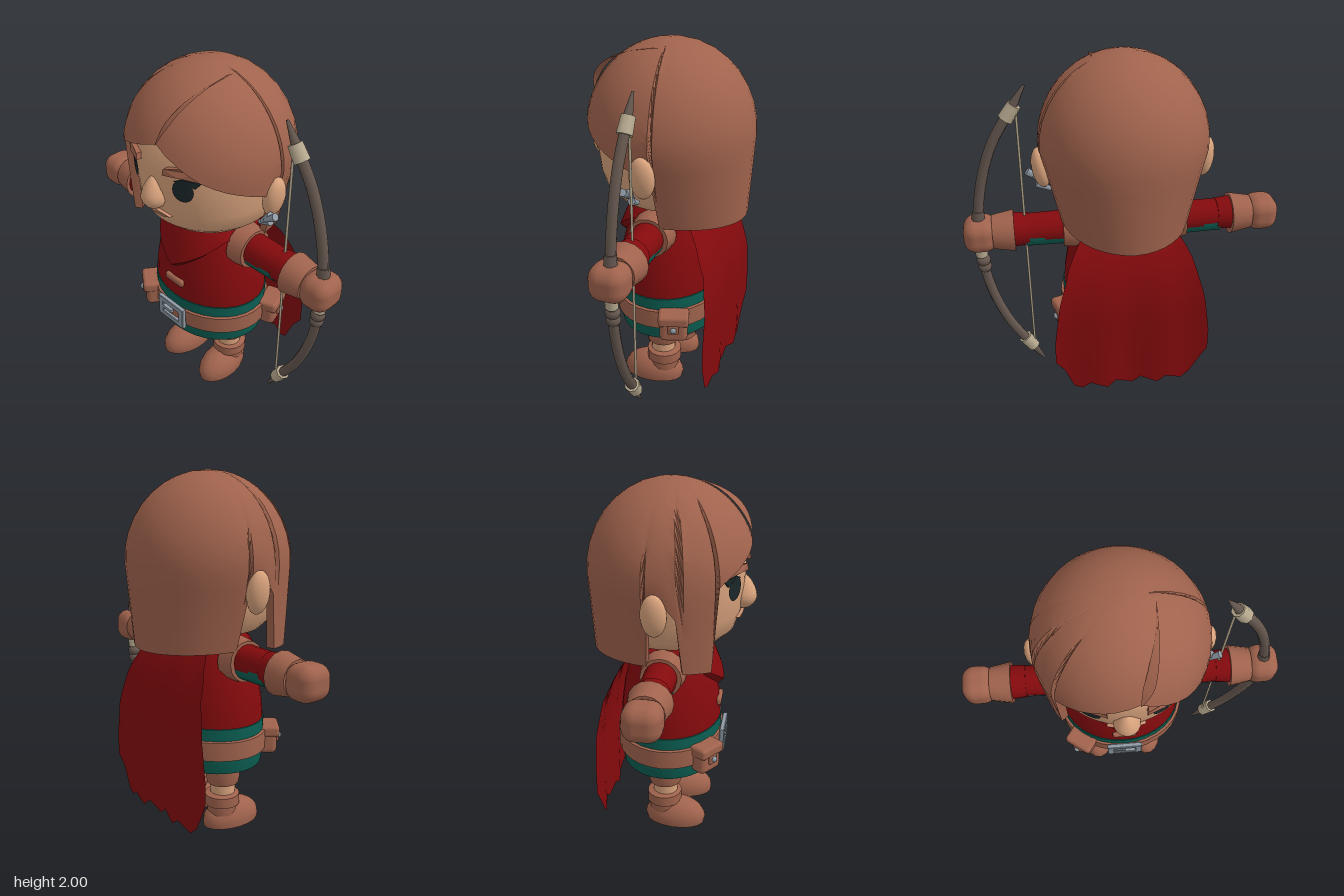
import * as THREE from 'three';
import { toCreasedNormals } from 'three/addons/utils/BufferGeometryUtils.js';
import { RoundedBoxGeometry } from 'three/addons/geometries/RoundedBoxGeometry.js';
import { ParametricGeometry } from 'three/addons/geometries/ParametricGeometry.js';

const mat = (name, color, side = THREE.FrontSide) => {
  const m = new THREE.MeshStandardMaterial({ color, side });
  m.name = name;
  return m;
};
const V2 = (p) => p.map(([x, y]) => new THREE.Vector2(x, y));
const rad = THREE.MathUtils.degToRad;

// Piecewise linear lookup in a list of [key, value] with rising keys
function lookup(list, k) {
  for (let i = 1; i < list.length; i++) {
    if (k <= list[i][0]) {
      const [a, b] = [list[i - 1], list[i]];
      return THREE.MathUtils.lerp(a[1], b[1], THREE.MathUtils.clamp((k - a[0]) / (b[0] - a[0]), 0, 1));
    }
  }
  return list[list.length - 1][1];
}

export function createModel() {
  const model = new THREE.Group();
  const D = THREE.DoubleSide;
  const leather = mat('brown hair and leather', 0xa0634d, D);
  const skin = mat('skin', 0xd9a37d);
  const lip = mat('lips', 0xcb9070);
  const red = mat('red cloth', 0x840a0d, D);
  const teal = mat('teal cloth', 0x0b5f53, D);
  const dark = mat('dark eyes', 0x1c282a, D);
  const metal = mat('metal', 0x8f9ba6);
  const wood = mat('bow wood', 0x64564e);
  const bone = mat('pale binding', 0xb8aa90);

  const add = (name, geo, material, x = 0, y = 0, z = 0, parent = model) => {
    const m = new THREE.Mesh(geo, material);
    m.name = name;
    m.position.set(x, y, z);
    parent.add(m);
    return m;
  };
  const lathe = (pts, depth = 1, seg = 32) =>
    toCreasedNormals(new THREE.LatheGeometry(V2(pts), seg).scale(1, 1, depth), 0.7);
  const ball = (rx, ry, rz) => new THREE.SphereGeometry(1, 18, 12).scale(rx, ry, rz);
  const along = (r0, r1, len, seg = 16) => new THREE.CylinderGeometry(r1, r0, len, seg).rotateZ(-Math.PI / 2);

  // Body, tunic and belt
  add('tunicTop', lathe([[0.35, 0.65], [0.343, 0.74], [0.32, 0.87], [0.275, 1.02], [0.22, 1.12], [0, 1.14]], 0.82), red);
  add('tunicHem', lathe([[0.24, 0.4], [0.342, 0.39], [0.356, 0.47], [0.356, 0.65], [0.34, 0.652]], 0.82), teal);
  add('belt', lathe([[0.35, 0.47], [0.372, 0.475], [0.372, 0.58], [0.35, 0.585]], 0.82), leather);
  add('shorts', lathe([[0, 0.345], [0.2, 0.35], [0.27, 0.38], [0.28, 0.44]], 0.82), leather);
  add('chestToggle', new RoundedBoxGeometry(0.14, 0.045, 0.04, 2, 0.015), leather, 0, 0.755, 0.275);

  // Belt buckle
  const frame = new THREE.Shape(V2([[-0.1, -0.065], [0.1, -0.065], [0.1, 0.065], [-0.1, 0.065]]));
  frame.holes.push(new THREE.Path(V2([[-0.07, -0.038], [-0.07, 0.038], [0.07, 0.038], [0.07, -0.038]])));
  const bevel = { depth: 0.02, bevelSize: 0.004, bevelThickness: 0.004, bevelSegments: 1 };
  add('buckleFrame', new THREE.ExtrudeGeometry(frame, bevel), metal, 0, 0.528, 0.298);
  add('bucklePin', new THREE.BoxGeometry(0.08, 0.02, 0.02), metal, -0.035, 0.528, 0.312);

  // Belt pouches
  for (const [x, z] of [[-0.255, 0.235], [0.355, -0.15]]) {
    const pouch = new THREE.Group();
    pouch.name = 'pouch';
    pouch.position.set(x, 0.515, z);
    pouch.rotation.y = Math.atan2(x, z * (x > 0 ? 0.8 : 1.5));
    add('pouchBag', new RoundedBoxGeometry(0.155, 0.15, 0.1, 2, 0.03), leather, 0, -0.01, 0, pouch);
    add('pouchFlap', new RoundedBoxGeometry(0.17, 0.065, 0.12, 2, 0.02), leather, 0, 0.05, 0.004, pouch);
    add('pouchTab', new RoundedBoxGeometry(0.06, 0.06, 0.03, 2, 0.01), leather, 0, 0.005, 0.05, pouch);
    add('pouchStud', ball(0.017, 0.017, 0.012), metal, 0, 0.005, 0.068, pouch);
    model.add(pouch);
  }

  // Legs and boots
  for (const s of [-1, 1]) {
    const x = 0.155 * s;
    add('legBand', lathe([[0.07, 0.265], [0.09, 0.265], [0.097, 0.3], [0.1, 0.36], [0.1, 0.42]], 1, 16), leather, x, 0, -0.01);
    add('knee', new THREE.CylinderGeometry(0.072, 0.07, 0.14, 16), skin, x, 0.23, -0.01);
    add('bootCuff', lathe([[0.085, 0.08], [0.088, 0.13], [0.1, 0.135], [0.1, 0.195], [0.065, 0.205]], 1, 16), leather, x, 0, -0.015);
    const foot = ball(0.107, 0.12, 0.18);
    const p = foot.attributes.position;
    for (let i = 0; i < p.count; i++) p.setY(i, Math.max(p.getY(i), -0.03) + 0.03);
    add('boot', toCreasedNormals(foot, 0.8), leather, x, 0, 0.05).rotation.y = 0.08 * s;
  }

  // Arms
  for (const s of [1, -1]) {
    const arm = new THREE.Group();
    arm.name = s > 0 ? 'leftArm' : 'rightArm';
    arm.position.y = 1.015;
    arm.rotation.y = s > 0 ? 0 : Math.PI;
    add('shoulderBand', along(0.125, 0.112, 0.095), leather, 0.298, 0, 0, arm);
    add('sleeve', along(0.092, 0.085, 0.36), red, 0.38, 0.005, 0, arm);
    add('sleeveCuff', along(0.09, 0.097, 0.09), red, 0.575, 0.005, 0, arm);
    add('sleeveLining', along(0.085, 0.082, 0.22), teal, 0.44, -0.014, 0, arm);
    add('gloveCuff', toCreasedNormals(along(0.118, 0.096, 0.12), 0.7), leather, 0.67, 0, 0, arm);
    add('glove', new RoundedBoxGeometry(0.18, 0.19, 0.2, 4, 0.07), leather, 0.798, 0, 0, arm);
    model.add(arm);
  }

  // Hood collar with a pointed front
  const collar = new ParametricGeometry((u, v, t) => {
    const a = (0.5 - u) * 2 * Math.PI;
    const side = Math.min(Math.abs(a) / rad(62), 1);
    const low = 0.875 + 0.2 * side;
    const rLow = 0.315 - 0.035 * side;
    const k = Math.min(v / 0.75, 1);
    let y = THREE.MathUtils.lerp(1.135, low, k);
    let r = THREE.MathUtils.lerp(0.21, rLow, Math.pow(k, 0.8));
    if (v > 0.8) { y -= 0.035; r -= 0.045; }
    t.set(Math.sin(a) * r, y, Math.cos(a) * r * 0.96);
  }, 48, 4);
  add('hoodCollar', toCreasedNormals(collar, 0.5), red);

  // Cape with a ragged hem
  const capeWidth = [[0.09, 0.44], [0.45, 0.44], [0.7, 0.405], [0.95, 0.33], [1.12, 0.22]];
  const capeZ = [[0.1, -0.345], [0.66, -0.345], [0.85, -0.315], [1, -0.25], [1.12, -0.16]];
  const cape = new ParametricGeometry((u, v, t) => {
    const c = u * 2 - 1;
    const i = Math.round(u * 18);
    const hem = 0.12 + 0.02 * ((i * 7) % 3 - 1) + Math.max(0, Math.abs(c) - 0.78) * 1.0;
    const y = THREE.MathUtils.lerp(1.12, hem, v);
    t.set(c * lookup(capeWidth, y), y, lookup(capeZ, y) + 0.012 * Math.cos(c * 8) * v);
  }, 18, 12);
  add('cape', toCreasedNormals(cape, 0.6), red);

  // Head
  const headPts = [[0, 1.12], [0.2, 1.13], [0.29, 1.155], [0.35, 1.21], [0.382, 1.31], [0.397, 1.44], [0.4, 1.55], [0.385, 1.7], [0.25, 1.84], [0, 1.9]];
  add('head', new THREE.LatheGeometry(V2(headPts), 48), skin);
  add('neck', new THREE.CylinderGeometry(0.15, 0.17, 0.12, 16), skin, 0, 1.1, 0);
  const headR = headPts.map(([r, y]) => [y, r]);
  const wrap = (geo, lift) => {
    const p = geo.attributes.position;
    for (let i = 0; i < p.count; i++) {
      const r = lookup(headR, p.getY(i));
      p.setZ(i, p.getZ(i) + Math.sqrt(Math.max(0, r * r - p.getX(i) ** 2)) + lift);
    }
    geo.computeVertexNormals();
    return geo;
  };
  const slab = (pts, depth) => new THREE.ExtrudeGeometry(new THREE.Shape(V2(pts)), { depth, bevelEnabled: false });

  for (const s of [-1, 1]) {
    const flip = (pts) => pts.map(([x, y]) => [x * s, y]);
    add('eye', wrap(new THREE.CircleGeometry(1, 24).scale(0.05, 0.064, 1).translate(0.18 * s, 1.475, 0), 0.008), dark);
    add('eyelash', wrap(slab(flip([[0.14, 1.525], [0.18, 1.545], [0.22, 1.54], [0.265, 1.54], [0.235, 1.5], [0.21, 1.52]]), 0.008), 0.003), dark);
    add('eyebrow', wrap(slab(flip([[0.095, 1.555], [0.1, 1.59], [0.18, 1.61], [0.25, 1.595], [0.275, 1.545], [0.18, 1.56]]), 0.035), -0.005), leather);
    add('ear', ball(0.05, 0.115, 0.068), skin, 0.443 * s, 1.4, -0.015).rotation.z = -0.12 * s;
  }
  const nose = ball(0.075, 0.095, 0.08);
  const np = nose.attributes.position;
  for (let i = 0; i < np.count; i++) {
    const k = 1 - Math.max(0, np.getY(i) + 0.03) * 3.5;
    np.setX(i, np.getX(i) * k);
    np.setZ(i, np.getZ(i) * k);
  }
  nose.computeVertexNormals();
  add('nose', nose, skin, 0, 1.405, 0.39);
  add('mouth', wrap(slab([[-0.1, 1.288], [-0.04, 1.302], [0.04, 1.302], [0.1, 1.288], [0.04, 1.27], [-0.04, 1.27]], 0.02), 0), lip);

  // Ear charms
  [[0.485, 1.32, -0.9], [0.45, 1.298, -0.75], [0.432, 1.262, -1.1]].forEach(([x, y, r], i) => {
    add('earCharm', new THREE.CylinderGeometry(0.022, 0.012, 0.085, 6), metal, x, y, 0.055 - i * 0.012).rotation.z = r;
  });

  // Hair: a shell whose lower edge height follows the angle around the head
  const edge = [[-180, 1.07], [-100, 1.08], [-97, 1.38], [-86, 1.46], [-78, 1.38], [-73, 1.08], [-52, 1.07], [-49, 1.53], [-40, 1.57], [-22, 1.63],
    [8, 1.71], [25, 1.635], [40, 1.565], [56, 1.51], [80, 1.44], [96, 1.4], [99, 1.09], [180, 1.07]];
  const angles = [];
  edge.forEach(([a], i) => {
    if (!i) return void angles.push(a);
    const from = edge[i - 1][0], n = Math.ceil((a - from) / 9);
    for (let j = 1; j <= n; j++) angles.push(from + (a - from) * j / n);
  });
  angles.reverse();
  const rows = 18, dome = 0.48 * Math.PI / 2;
  const hair = new ParametricGeometry((u, v, t) => {
    const deg = angles[THREE.MathUtils.clamp(Math.round(u * (angles.length - 1)), 0, angles.length - 1)];
    const e = lookup(edge, deg);
    const total = e > 1.52 ? 0.48 * Math.acos((e - 1.52) / 0.48) : dome + 1.52 - e;
    const row = Math.round(v * rows);
    const inner = row > 14;
    const d = total * (inner ? 1 - (row - 15) * 0.12 : row / 14);
    const drop = Math.max(0, d - dome);
    let r = d < dome ? 0.455 * Math.sin(d / 0.48) : 0.455 - 0.05 * drop;
    if (inner) r -= 0.045;
    const y = d < dome ? 1.52 + 0.48 * Math.cos(d / 0.48) : 1.52 - drop;
    const taper = 1 - (Math.abs(deg) > 90 ? 0.42 * drop : 0);
    t.set(Math.sin(rad(deg)) * r * taper, y, Math.cos(rad(deg)) * r);
  }, angles.length - 1, rows);
  add('hair', toCreasedNormals(hair, 0.7), leather);

  // Raised lock along the parting
  const lockL = [[1.705, 0.058], [1.8, 0.068], [1.9, 0.11], [1.97, 0.155]];
  const lockR = [[1.705, 0.062], [1.8, 0.122], [1.9, 0.15], [1.97, 0.16]];
  const lock = new ParametricGeometry((u, v, t) => {
    const y = 1.97 - 0.265 * v;
    const x = THREE.MathUtils.lerp(lookup(lockR, y), lookup(lockL, y), u);
    const r2 = 0.455 ** 2 * (1 - ((y - 1.52) / 0.48) ** 2);
    const lift = 0.006 + 0.03 * (1 - u) * Math.sin(Math.PI * v);
    t.set(x, y + lift * 0.5, Math.sqrt(Math.max(0, r2 - x * x)) + lift);
  }, 2, 10);
  add('partingLock', toCreasedNormals(lock, 0.5), leather);

  // Bow
  const bow = new THREE.Group();
  bow.name = 'bow';
  const P = (x, y) => new THREE.Vector3(x, y, -0.005);
  const limb = new THREE.CatmullRomCurve3([P(0.57, 1.74), P(0.69, 1.54), P(0.775, 1.27), P(0.805, 0.97), P(0.775, 0.66), P(0.69, 0.4), P(0.57, 0.19)]);
  add('bowLimb', new THREE.TubeGeometry(limb, 40, 0.028, 8), wood, 0, 0, 0, bow);
  // A tapered rod between two points of the bow plane
  const rod = (name, a, b, r0, r1, material) => {
    const dir = b.clone().sub(a);
    const m = add(name, new THREE.CylinderGeometry(r1, r0, dir.length(), 8), material, 0, 0, 0, bow);
    m.position.copy(a).add(b).multiplyScalar(0.5);
    m.quaternion.setFromUnitVectors(new THREE.Vector3(0, 1, 0), dir.normalize());
  };
  rod('upperTip', P(0.57, 1.74), P(0.5, 1.855), 0.028, 0.007, wood);
  rod('lowerTip', P(0.57, 0.19), P(0.5, 0.07), 0.028, 0.007, wood);
  rod('upperBinding', P(0.605, 1.68), P(0.555, 1.755), 0.042, 0.037, bone);
  rod('lowerBinding', P(0.605, 0.25), P(0.555, 0.17), 0.042, 0.037, bone);
  rod('upperGripRing', P(0.8, 1.1), P(0.795, 1.16), 0.036, 0.032, wood);
  rod('gripWrap', P(0.803, 0.87), P(0.804, 0.93), 0.034, 0.036, bone);
  rod('string', P(0.55, 0.2), P(0.55, 1.73), 0.007, 0.007, bone);
  add('gripKnob', ball(0.04, 0.035, 0.04), wood, 0.797, 0.84, -0.005, bow);
  add('gripKnob', ball(0.038, 0.035, 0.038), wood, 0.793, 0.795, -0.005, bow);
  model.add(bow);

  return model;
}
